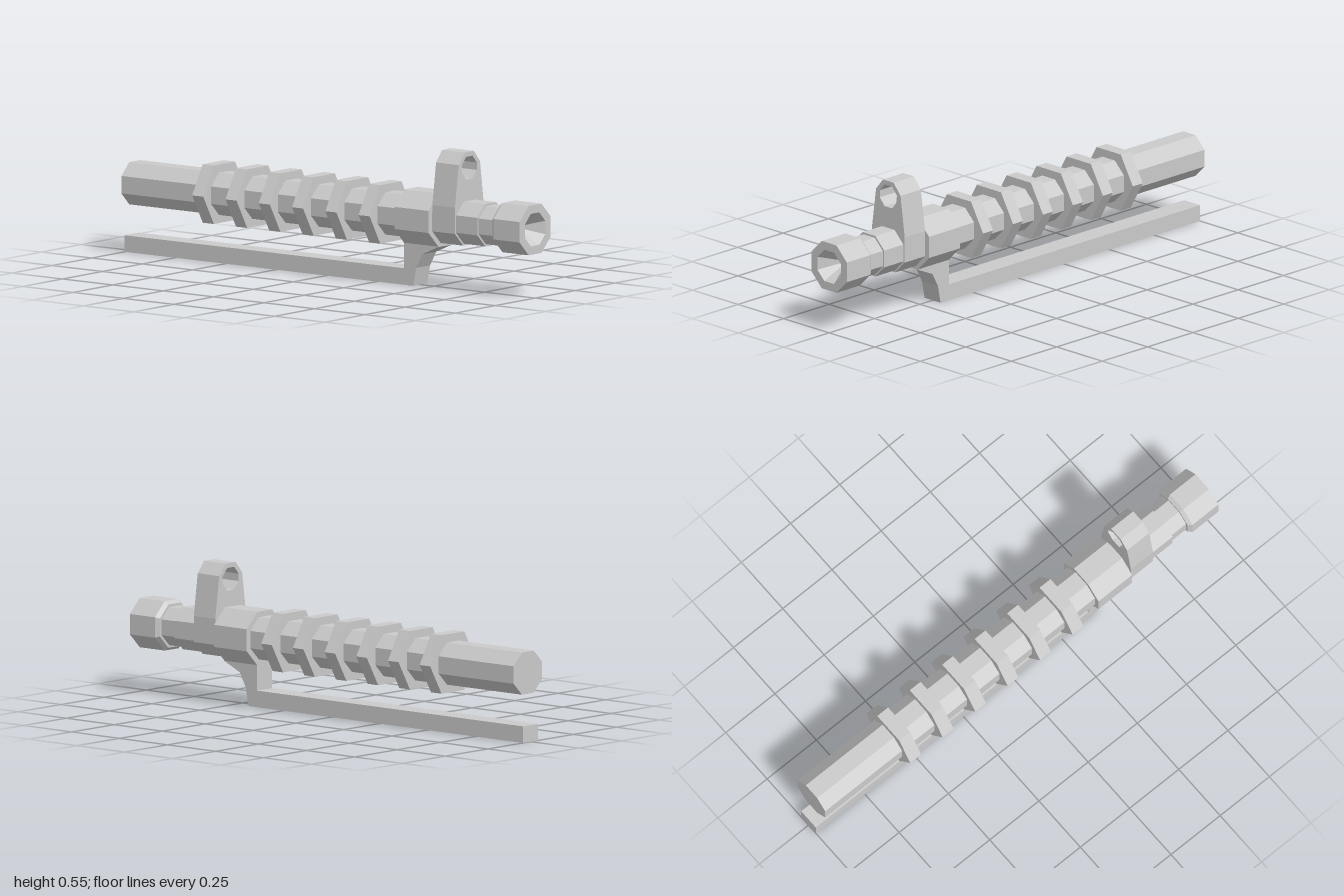
import * as THREE from 'three';

const AXIS_Y = 0.27;
const material = new THREE.MeshStandardMaterial({ color: 0xcccccc, flatShading: true });

export function createModel() {
  const group = new THREE.Group();

  function add(name, geometry, y = 0) {
    const mesh = new THREE.Mesh(geometry, material);
    mesh.name = name;
    mesh.position.y = y;
    group.add(mesh);
  }

  // Faceted solid around the bore; profile is [apothem, z], running back to front
  function turned(name, profile, sides = 8) {
    const k = 1 / Math.cos(Math.PI / sides);
    const points = profile.map(([a, z]) => new THREE.Vector2(a * k, z));
    const geometry = new THREE.LatheGeometry(points, sides, Math.PI / sides).rotateX(Math.PI / 2);
    add(name, geometry, AXIS_Y);
  }
  const drum = (name, apothem, z0, z1, sides) =>
    turned(name, [[0, z0], [apothem, z0], [apothem, z1], [0, z1]], sides);

  const toShape = (pts) => new THREE.Shape(pts.map(([x, y]) => new THREE.Vector2(x, y)));
  // Completes a right-hand half outline with its mirror image
  const mirrored = (half) => [...half, ...half.map(([x, y]) => [-x, y]).reverse()];

  // Barrel and stepped front sections
  drum('barrel', 0.083, -0.985, 0.4);
  drum('gasBlock', 0.105, 0.385, 0.555);
  drum('frontCollar', 0.083, 0.55, 0.78);
  drum('muzzleNeck', 0.075, 0.77, 0.87);

  // Muzzle with chamfered back and conical bore
  turned('muzzle', [[0, 0.855], [0.085, 0.855], [0.097, 0.87], [0.097, 1], [0.064, 1], [0, 0.9]]);

  // Hexagonal cooling rings
  for (let i = 0; i < 6; i++) {
    const z = -0.595 + i * 0.165;
    drum('coolingRing', 0.115, z, z + 0.055, 6);
  }

  // Front sight tower with an octagonal window
  const tower = toShape(mirrored([
    [0.038, 0.18], [0.09, 0.232], [0.09, 0.335], [0.067, 0.5], [0.029, 0.545],
  ]));
  tower.holes.push(toShape(mirrored([
    [0.02, 0.438], [0.047, 0.468], [0.047, 0.497], [0.02, 0.527],
  ])));
  add('sightTower', new THREE.ExtrudeGeometry(tower, { depth: 0.112, bevelEnabled: false })
    .translate(0, 0, 0.562));

  // Tapered sight post in the window
  add('sightPost', new THREE.CylinderGeometry(0.005, 0.01, 0.046, 4)
    .rotateY(Math.PI / 4).translate(0, 0.458, 0.618));

  // Lower rod with its curved bracket, drawn as a side profile in z and y
  const rod = toShape([
    [-1, 0], [0.43, 0], [0.445, 0.072], [0.475, 0.128], [0.552, 0.163],
    [0.552, 0.18], [0.385, 0.18], [0.385, 0.065], [-1, 0.065],
  ]);
  add('lowerRod', new THREE.ExtrudeGeometry(rod, { depth: 0.088, bevelEnabled: false })
    .rotateY(-Math.PI / 2).translate(0.044, 0, 0));

  return group;
}
